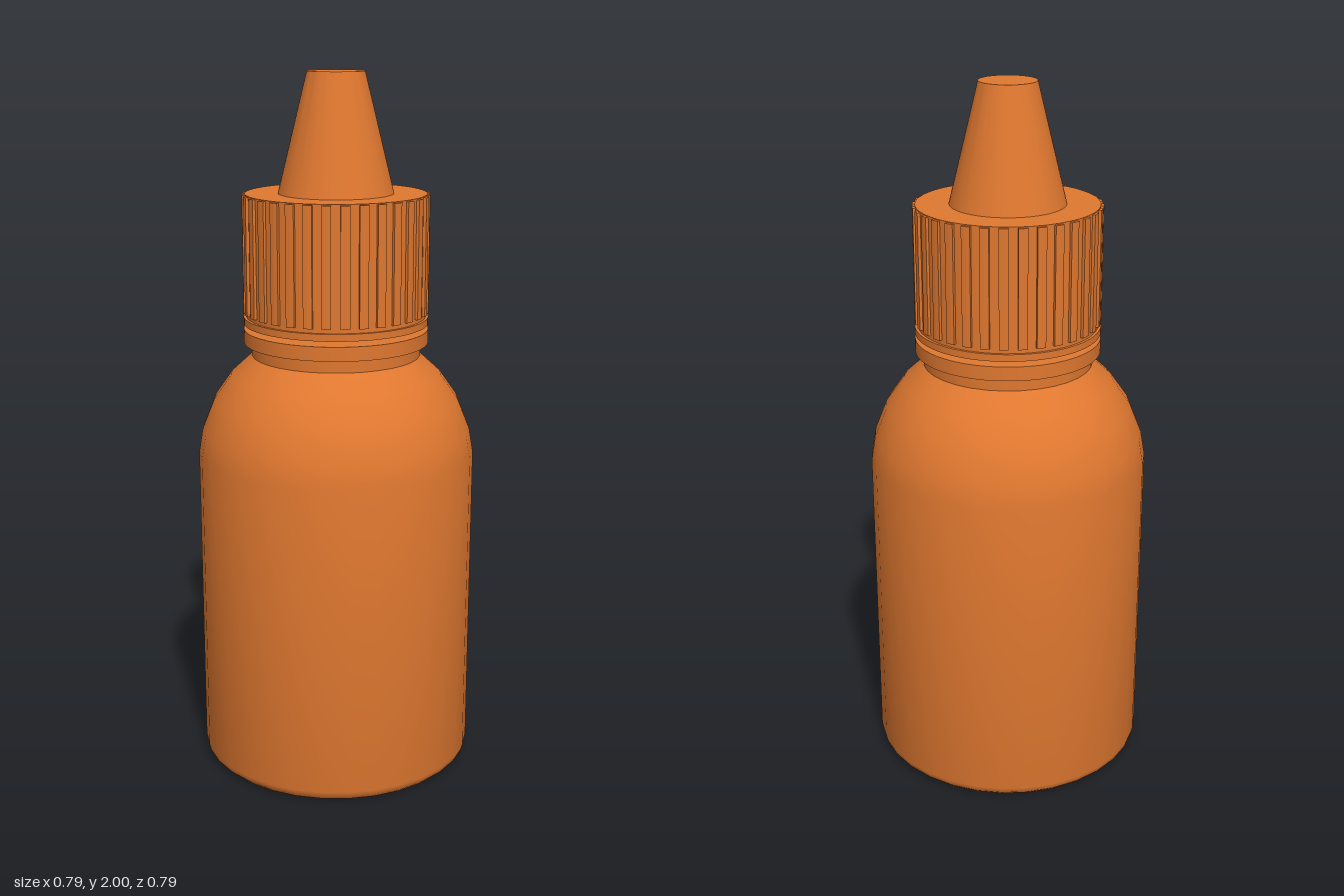
import * as THREE from 'three';
import { toCreasedNormals } from 'three/addons/utils/BufferGeometryUtils.js';

export function createModel() {
  const model = new THREE.Group();
  const material = new THREE.MeshStandardMaterial({ color: 0xe07830 });

  function add(name, geometry) {
    const mesh = new THREE.Mesh(geometry, material);
    mesh.name = name;
    model.add(mesh);
    return mesh;
  }

  // Turned part from [radius, height] points, bottom to top
  function turned(name, profile, sides) {
    const points = profile.map(([r, y]) => new THREE.Vector2(r, y));
    return add(name, toCreasedNormals(new THREE.LatheGeometry(points, sides), 0.6));
  }

  // Bottle with rounded base, domed shoulder and straight neck
  turned('bottle', [
    [0, 0], [0.365, 0], [0.381, 0.004], [0.393, 0.016], [0.397, 0.032],
    [0.397, 0.93], [0.385, 1.0], [0.35, 1.087], [0.30, 1.158], [0.24, 1.213],
    [0.24, 1.26], [0, 1.26],
  ], 32);

  // Neck collar, narrow bridge and tamper ring
  turned('neckCollar', [[0, 1.25], [0.262, 1.25], [0.262, 1.29], [0, 1.29]], 64);
  turned('neckBridge', [[0, 1.28], [0.185, 1.28], [0.185, 1.31], [0, 1.31]], 64);
  turned('tamperRing', [[0, 1.305], [0.262, 1.305], [0.262, 1.325], [0, 1.325]], 64);

  // Cap core
  turned('capCore', [[0, 1.32], [0.254, 1.32], [0.254, 1.67], [0, 1.67]], 64);

  // Vertical grip ribs around the cap, extruded from a toothed ring
  const ribs = 32;
  const outline = new THREE.Shape();
  for (let i = 0; i < ribs; i++) {
    [[-0.25, 0.253], [-0.25, 0.262], [0, 0.2625], [0.25, 0.262], [0.25, 0.253]].forEach(([t, r], k) => {
      const a = ((i + t) / ribs) * Math.PI * 2;
      const x = Math.cos(a) * r, y = Math.sin(a) * r;
      if (i === 0 && k === 0) outline.moveTo(x, y);
      else outline.lineTo(x, y);
    });
  }
  outline.closePath();
  const grip = new THREE.ExtrudeGeometry(outline, { depth: 0.33, bevelEnabled: false });
  grip.rotateX(-Math.PI / 2);
  grip.translate(0, 1.337, 0);
  add('capGrip', grip);

  // Tapered nozzle cover with flat tip
  turned('nozzle', [[0.162, 1.668], [0.08, 2], [0, 2]], 64);

  return model;
}
